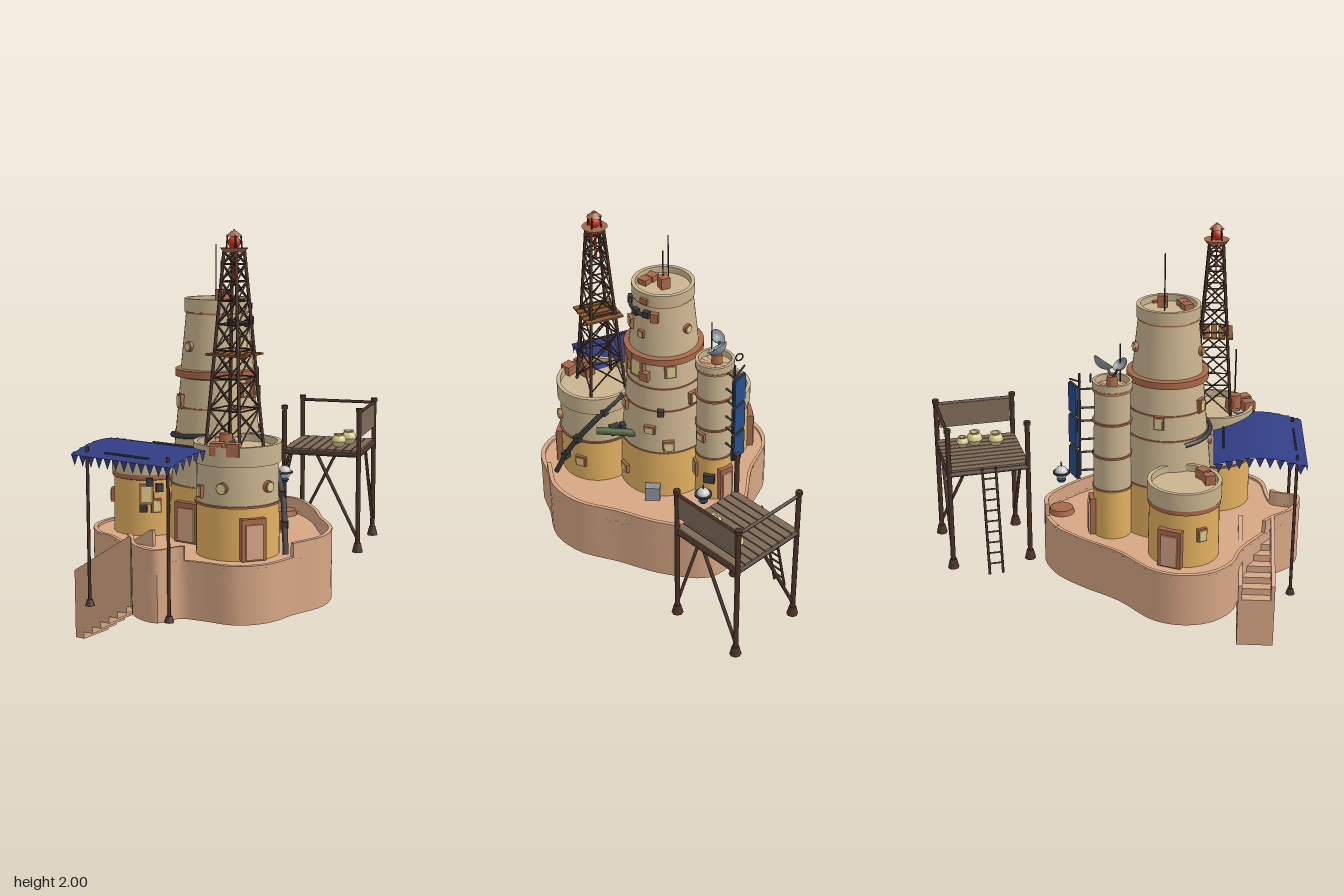
import * as THREE from 'three';
import { toCreasedNormals } from 'three/addons/utils/BufferGeometryUtils.js';

const C = { base: 0xd6a684, beige: 0xc9b48e, yellow: 0xe2b060, trim: 0xa8694a, dark: 0x3c3a3c, pole: 0x4a3228,
  wood: 0x7d6a58, blue: 0x323e86, panel: 0x24508f, cream: 0xd8cc8c, green: 0x4f6238, red: 0xd03020, grey: 0x8c929a, white: 0xdddddd };
const V = (x, y, z) => new THREE.Vector3(x, y, z);
const mats = {};
const mat = (c, two) => (mats[c + (two ? 'd' : '')] ??= new THREE.MeshStandardMaterial({ color: c, side: two ? THREE.DoubleSide : THREE.FrontSide }));

function add(parent, name, geo, color, x = 0, y = 0, z = 0, ry = 0, two = false) {
  const m = new THREE.Mesh(geo, mat(color, two));
  m.name = name;
  m.position.set(x, y, z);
  m.rotation.y = ry;
  parent.add(m);
  return m;
}
const box = (p, name, c, w, h, d, x, y, z, ry = 0) => add(p, name, new THREE.BoxGeometry(w, h, d), c, x, y, z, ry);
const cyl = (p, name, c, r0, r1, h, x, y, z, n = 20) => add(p, name, new THREE.CylinderGeometry(r1, r0, h, n), c, x, y, z);
function rod(p, name, c, a, b, r, n = 6) {
  const d = b.clone().sub(a), m = cyl(p, name, c, r, r, d.length(), 0, 0, 0, n);
  m.position.copy(a).addScaledVector(d, 0.5);
  m.quaternion.setFromUnitVectors(V(0, 1, 0), d.normalize());
  return m;
}
const tube = (p, name, c, pts, r) => add(p, name, new THREE.TubeGeometry(new THREE.CatmullRomCurve3(pts), 24, r, 8), c);
const lathe = (p, name, c, pts, x, y, z) =>
  add(p, name, toCreasedNormals(new THREE.LatheGeometry(pts.map(q => new THREE.Vector2(...q)), 48), 0.6), c, x, y, z);

// extrude an outline on the x/z plane downwards from top
function slab(p, name, c, pts, top, depth) {
  const g = new THREE.ExtrudeGeometry(new THREE.Shape(pts), { depth, bevelEnabled: false });
  g.rotateX(Math.PI / 2);
  return add(p, name, toCreasedNormals(g, 0.5), c, 0, top, 0);
}

function buildBase(root) {
  const g = new THREE.Group(); g.name = 'terrace'; root.add(g);
  const P = [[-.15, -.3], [.04, -.37], [.26, -.23], [.42, -.05], [.58, .12], [.64, .3], [.6, .5], [.57, .68], [.47, .79], [.3, .82],
    [.2, .85], [.15, .97], [0, .94], [-.12, .82], [-.36, .66], [-.49, .62], [-.6, .52], [-.64, .38], [-.6, .23], [-.42, .05], [-.28, -.16]];
  const curve = new THREE.CatmullRomCurve3(P.map(q => V(q[0], 0, q[1])), true);
  const arc = (a, b, s) => Array.from({ length: 81 }, (_, i) => {
    const q = curve.getPoint(((a + (b - a) * i / 80) / P.length) % 1);
    return new THREE.Vector2(q.x * s, .27 + (q.y + q.z - .27) * s);
  });
  slab(g, 'terraceBody', C.base, arc(0, 20.8, 1), .476, .266);
  const wall = (name, a, b, top) => slab(g, name, C.base, [...arc(a, b, 1), ...arc(a, b, .965).reverse()], top, top - .44);
  wall('rim', 0, 20.99, .488);
  wall('backParapet', .6, 6, .555);
  wall('gateParapet', 9.8, 13.2, .555);
  // stairs: stepped underside, stepped treads, sloping side walls
  const under = [], treads = [];
  for (let i = 0; i < 6; i++) {
    const x = -.46 + i * .054, y = i * .035;
    under.push([x, y], [x + .054, y]);
    treads.push([x, y + .26], [x + .054, y + .26]);
  }
  under.push([-.136, .21], [-.1, .21]);
  const side = (name, pts, z, d) => add(g, name, new THREE.ExtrudeGeometry(new THREE.Shape(pts.map(q => new THREE.Vector2(...q))),
    { depth: d, bevelEnabled: false }), C.base, 0, 0, z);
  side('stairs', [...under, [-.1, .476], ...treads.reverse()], .652, .18);
  for (const z of [.65, .814]) side('stairWall', [...under, [-.1, .555], [-.12, .555], [-.46, .34]], z, .02);
}

// round house from stacked lathe sections; returns a helper placing things on its wall
function tower(root, name, x, z, sections, radius) {
  const g = new THREE.Group(); g.name = name; root.add(g);
  sections.forEach(([part, c, pts]) => lathe(g, part, c, pts, x, 0, z));
  const at = (deg, y, off = 0) => {
    const a = deg * Math.PI / 180, r = radius(y) + off;
    return [x + r * Math.sin(a), y, z + r * Math.cos(a), a];
  };
  const fit = (part, c, deg, y, w, h, d = .03) => box(g, part, c, w, h, d, ...at(deg, y));
  return {
    g, at, fit,
    window(deg, y, w, h) { fit('windowFrame', C.trim, deg, y, w, h, .03); fit('windowPane', C.cream, deg, y, w * .7, h * .75, .04); },
    door(deg, w = .12) { fit('doorFrame', C.trim, deg, .58, w, .2, .05); fit('doorLeaf', C.base, deg, .57, w * .7, .165, .065); },
    porthole(deg, y, r = .025) {
      for (const [n, c, s, h] of [['portholeRim', C.trim, 1, .03], ['portholeGlass', C.cream, .78, .04]]) {
        const [px, py, pz, a] = at(deg, y);
        const m = cyl(g, n, c, r * s, r * s, h, px, py, pz);
        m.rotation.set(Math.PI / 2, 0, -a);
      }
    },
    hoop(y, c = C.trim, h = .01, o = .008) { const r = radius(y) + o; cyl(g, 'hoop', c, r, r, h, x, y, z, 48); },
  };
}
const cap = (r, y0, y1, w = .02) => [[r - .01, y0], [r, y0], [r, y1], [r - w, y1], [r - w, y1 - .035], [0, y1 - .035]];

function buildHouses(root) {
  const rm = y => y < .75 ? .245 - (y - .48) * .05 : .231 - (y - .75) * .095;
  const main = tower(root, 'mainTower', 0, .27, [
    ['lowerWall', C.yellow, [[.245, .46], [.232, .75]]],
    ['middleWall', C.beige, [[.231, .75], [.18, 1.28]]],
    ['balconyRing', C.trim, [[.17, 1.27], [.207, 1.28], [.207, 1.315], [.17, 1.32]]],
    ['upperWall', C.beige, [[.18, 1.31], [.151, 1.6]]], ['roofCap', C.beige, cap(.16, 1.595, 1.66)]], rm);
  [.75, 1.0, 1.13, 1.59].forEach(y => main.hoop(y, C.trim, .008, .004));
  main.door(0, .14);
  main.porthole(-16, 1.43); main.porthole(16, .91, .03); main.porthole(200, 1.45);
  main.window(-30, 1.16, .05, .07); main.window(-100, 1.1, .05, .07);
  [[80, 1.45, .06, .06], [115, 1.43, .035, .04], [110, 1.24, .09, .13], [80, 1.22, .06, .07], [85, .97, .05, .06],
    [135, .89, .06, .045], [165, 1.24, .06, .08], [160, .8, .06, .06], [200, 1.05, .05, .07], [95, .585, .06, .05]].forEach(q => main.window(...q));
  [[125, 1.2, .05, .05], [95, 1.28, .06, .05], [140, 1.54, .04, .05], [120, 1.62, .04, .03]].forEach(q => main.fit('wallBox', C.trim, ...q, .05));
  [[60, 1.55], [100, 1.54], [125, 1.55], [85, .82], [150, 1.0]].forEach(q => main.fit('ventBox', C.dark, ...q, .035, .035, .05));
  tube(main.g, 'upperPipe', C.dark, [60, 80, 100, 125].map(d => V(...main.at(d, 1.55 - (d - 60) * .0002, .015))), .009);
  tube(main.g, 'frontPipe', C.dark, [-65, -45, -25, 0, 25].map(d => V(...main.at(d, 1.0 + d * .0003, .015))), .012);
  box(main.g, 'roofHatch', C.trim, .05, .06, .05, .01, 1.67, .24);
  box(main.g, 'roofHatch', C.trim, .05, .03, .05, .02, 1.64, .36, .5); box(main.g, 'roofHatch', C.trim, .05, .03, .05, .07, 1.64, .34, .5);
  rod(main.g, 'antenna', C.dark, V(-.02, 1.62, .25), V(-.02, 1.92, .25), .003);
  rod(main.g, 'antenna', C.dark, V(.01, 1.62, .25), V(.01, 1.84, .25), .003);

  const left = tower(root, 'leftHouse', -.36, .37, [
    ['lowerWall', C.yellow, [[.178, .46], [.174, .76]]], ['trimBand', C.trim, [[.17, .755], [.182, .76], [.182, .785], [.17, .79]]],
    ['upperWall', C.beige, cap(.185, .785, .875)]], () => .175);
  left.door(-110); left.window(35, .69, .07, .1); left.window(50, .63, .05, .07); left.window(-60, .65, .05, .07);
  [[40, .75], [30, .62], [55, .72]].forEach(q => left.fit('meterBox', C.dark, ...q, .035, .04, .04));
  box(left.g, 'roofBox', C.trim, .06, .05, .05, -.27, .865, .46, .7); box(left.g, 'roofBox', C.trim, .05, .05, .05, -.33, .865, .49, .3);

  const right = tower(root, 'rightHouse', .29, .51, [
    ['lowerWall', C.yellow, [[.2, .46], [.197, .73]]], ['upperWall', C.beige, [[.197, .73], [.194, .93]]],
    ['roofCap', C.beige, cap(.209, .92, 1.013)]], () => .197);
  right.hoop(.73); right.hoop(.925);
  right.door(55); right.porthole(14, .82, .028); right.porthole(80, .82, .028); right.window(-25, .79, .04, .06); right.window(130, .6, .06, .06);
  [[.3, .61], [.3, .69], [.38, .67]].forEach(q => box(right.g, 'roofBox', C.trim, .06, .06, .06, q[0], 1.0, q[1], .4));
  cyl(right.g, 'roofChimney', C.trim, .035, .03, .07, .3, 1.03, .62);
  rod(right.g, 'roofAntenna', C.dark, V(.32, 1, .62), V(.32, 1.31, .62), .004);

  const back = tower(root, 'backTurret', -.16, 0, [
    ['lowerWall', C.yellow, [[.098, .46], [.096, .74]]], ['upperWall', C.beige, [[.096, .74], [.09, 1.27]]],
    ['roofCap', C.beige, cap(.1, 1.26, 1.31, .015)]], () => .093);
  [.74, .92, 1.1, 1.27].forEach(y => back.hoop(y));
  back.door(190, .08); back.window(110, .87, .05, .05); back.window(80, .64, .05, .09); back.fit('meterBox', C.dark, 140, .62, .06, .05, .05);
  // twin dishes
  cyl(back.g, 'dishBase', C.trim, .03, .025, .05, -.17, 1.31, 0);
  for (const [x, z, t, r] of [[-.2, .03, .6, .045], [-.14, -.03, -.6, .06]]) {
    const d = add(back.g, 'dish', new THREE.SphereGeometry(r, 20, 8, 0, Math.PI * 2, Math.PI * .62, Math.PI * .38), C.grey, x, 1.42, z, 0, true);
    d.rotation.set(-t, 0, t * .5);
    rod(back.g, 'dishArm', C.dark, V(-.17, 1.32, 0), V(x, 1.38, z), .006);
  }
  rod(back.g, 'dishAntenna', C.dark, V(-.16, 1.3, .04), V(-.16, 1.5, .04), .003);
  // stacked solar panels on brackets
  for (const y of [1.22, 1.05, .88]) {
    box(back.g, 'solarFrame', C.dark, .1, .155, .012, -.2, y, -.185, .5);
    box(back.g, 'solarPanel', C.panel, .092, .148, .012, -.203, y, -.191, .5);
    for (const d of [-.05, .05]) rod(back.g, 'solarBracket', C.dark, V(-.18, y + d, -.08), V(-.2, y + d, -.18), .006);
  }
  rod(back.g, 'panelPost', C.dark, V(-.19, .8, -.16), V(-.19, 1.35, -.16), .006);
  rod(back.g, 'panelArm', C.dark, V(-.25, 1.33, -.15), V(-.16, 1.31, -.21), .005);
  const lamp = add(back.g, 'lampRing', new THREE.TorusGeometry(.02, .004, 6, 16), C.dark, -.245, 1.35, -.1);

  // service pipes beside the right house
  const pipes = new THREE.Group(); pipes.name = 'servicePipes'; root.add(pipes);
  tube(pipes, 'drainPipe', C.dark, [V(.22, 1.01, .31), V(.33, .93, .31), V(.46, .75, .38), V(.51, .62, .44), V(.55, .49, .49)], .014);
  [[.33, .93, .31], [.46, .75, .38], [.51, .62, .44]].forEach(q => box(pipes, 'pipeJoint', C.dark, .035, .035, .035, ...q, .5));
  rod(pipes, 'greenTank', C.green, V(.19, .82, .2), V(.38, .83, .3), .02, 12);
  box(pipes, 'pump', C.dark, .05, .05, .05, .28, .81, .3);
  box(pipes, 'generator', C.grey, .08, .08, .05, .17, .52, .06, -.5);
}

function buildMast(root) {
  const g = new THREE.Group(); g.name = 'signalMast'; g.position.set(.265, 0, .5); root.add(g);
  const S = [[1, 1], [1, -1], [-1, -1], [-1, 1]];
  const p = (k, y) => { const h = .098 - (y - .98) / .92 * .064; return V(S[k % 4][0] * h, y, S[k % 4][1] * h); };
  const levels = [1.0, 1.16, 1.31, 1.44, 1.56, 1.67, 1.76, 1.84, 1.9];
  for (let k = 0; k < 4; k++) {
    rod(g, 'mastLeg', C.pole, p(k, .98), p(k, 1.9), .008);
    levels.slice(1).forEach((y, i) => {
      rod(g, 'mastRail', C.pole, p(k, y), p(k + 1, y), .004);
      rod(g, 'mastBrace', C.pole, p(k, levels[i]), p(k + 1, y), .004);
      rod(g, 'mastBrace', C.pole, p(k + 1, levels[i]), p(k, y), .004);
    });
  }
  for (let i = 0; i < 5; i++) box(g, 'mastPlank', 0x8a5a30, .2, .01, .032, 0, 1.42, -.08 + i * .04);
  cyl(g, 'lampPlatform', C.trim, .05, .065, .02, 0, 1.905, 0);
  add(g, 'beacon', new THREE.SphereGeometry(.03, 16, 12), C.red, 0, 1.94, 0);
  for (let k = 0; k < 4; k++) rod(g, 'lampPost', C.pole, V(S[k][0] * .026, 1.91, S[k][1] * .026), V(S[k][0] * .022, 1.975, S[k][1] * .022), .004);
  cyl(g, 'lampRoof', C.trim, .038, .012, .025, 0, 1.98, 0); cyl(g, 'lampTip', C.trim, .008, .004, .012, 0, 1.994, 0);
  box(g, 'banner', C.red, .012, .14, .005, 0, 1.81, 0);
}

function buildAwning(root) {
  const g = new THREE.Group(); g.name = 'awning'; root.add(g);
  const height = z => .948 + .042 * Math.sin(Math.PI * (z - .51) / .46);
  const cloth = new THREE.PlaneGeometry(.6, .46, 1, 16).rotateX(-Math.PI / 2).translate(-.05, 0, .74);
  const a = cloth.attributes.position;
  for (let i = 0; i < a.count; i++) a.setY(i, height(a.getZ(i)));
  cloth.computeVertexNormals();
  add(g, 'cloth', cloth, C.blue, 0, 0, 0, 0, true);
  // pennants along the front and both sides
  const tri = new THREE.ShapeGeometry(new THREE.Shape([[-.021, 0], [0, -.05], [.021, 0]].map(q => new THREE.Vector2(...q))));
  for (let i = 0; i < 12; i++) add(g, 'pennant', tri, C.blue, -.325 + i * .05, .948, .97, 0, true);
  for (const x of [-.35, .25]) for (let i = 0; i < 9; i++) add(g, 'pennant', tri, C.blue, x, height(.535 + i * .05), .535 + i * .05, Math.PI / 2, true);
  for (const x of [-.29, .19]) {
    rod(g, 'awningPole', C.pole, V(x, .21, .92), V(x, .985, .92), .008, 8);
    cyl(g, 'poleFoot', C.pole, .024, .014, .03, x, .225, .92, 10);
  }
  for (const z of [.56, .92]) rod(g, 'clothBar', C.dark, V(-.18, height(z) + .004, z), V(.08, height(z) + .004, z), .005);
}

function buildLookout(root) {
  const g = new THREE.Group(); g.name = 'lookout'; g.position.set(.065, 0, -.7); g.rotation.y = .32; root.add(g);
  const h = .205, S = [[-h, -h], [h, -h], [h, h], [-h, h]];
  S.forEach(([x, z], k) => {
    const [nx, nz] = S[(k + 1) % 4];
    rod(g, 'leg', C.pole, V(x, .25, z), V(x, 1.03, z), .013, 8);
    cyl(g, 'foot', C.pole, .03, .018, .05, x, .275, z, 8);
    cyl(g, 'postCap', C.pole, .018, .018, .02, x, 1.025, z, 8);
    rod(g, 'deckBeam', C.pole, V(x, .78, z), V(nx, .78, nz), .014);
    if (k !== 3) rod(g, 'brace', C.pole, V(x, .32, z), V(x + (nx - x) * .55, .77, z + (nz - z) * .55), .009);
    if (k < 2) rod(g, 'handrail', C.pole, V(x, 1.01, z), V(nx, 1.01, nz), .009);
  });
  for (let i = 0; i < 9; i++) box(g, 'plank', C.wood, .04, .014, .42, -.184 + i * .046, .797, 0);
  box(g, 'screen', C.wood, .012, .14, .38, h, .945, 0);
  // leaning ladder on the open side
  const foot = z => V(-.33, .25, z), top = z => V(-.21, .8, z), z0 = -.035, z1 = .035;
  for (const z of [z0, z1]) rod(g, 'ladderRail', C.pole, foot(z), top(z), .007);
  for (let i = 1; i < 10; i++) rod(g, 'ladderRung', C.pole, foot(z0).lerp(top(z0), i / 10), foot(z1).lerp(top(z1), i / 10), .005);
  // clay pots
  for (const [x, z, r] of [[.088, -.087, .032], [.102, -.02, .042], [.07, .088, .04]])
    lathe(g, 'pot', C.cream, [[0, 0], [r * .6, 0], [r, r * .7], [r * .9, r * 1.2], [r * .6, r * 1.5], [r * .7, r * 1.7], [r * .5, r * 1.7], [r * .45, r * 1.3], [0, r * 1.3]], x, .804, z);
}

// round pad with a small hovering probe
function buildProbe(root) {
  const g = new THREE.Group(); g.name = 'hoverProbe'; g.position.set(.04, 0, -.28); root.add(g);
  cyl(g, 'pad', C.trim, .068, .06, .03, 0, .488, 0, 24);
  add(g, 'probeBody', new THREE.SphereGeometry(.035, 20, 14), C.white, 0, .705, 0);
  cyl(g, 'probeBelt', C.dark, .045, .045, .008, 0, .705, 0, 24);
  cyl(g, 'probeRing', C.panel, .025, .025, .005, 0, .665, 0); cyl(g, 'probeRing', C.panel, .018, .018, .005, 0, .655, 0);
  rod(g, 'probeAerial', C.dark, V(0, .73, 0), V(0, .765, 0), .003);
}

export function createModel() {
  const root = new THREE.Group();
  root.name = 'towerOutpost';
  [buildBase, buildHouses, buildMast, buildAwning, buildLookout, buildProbe].forEach(f => f(root));
  return root;
}
